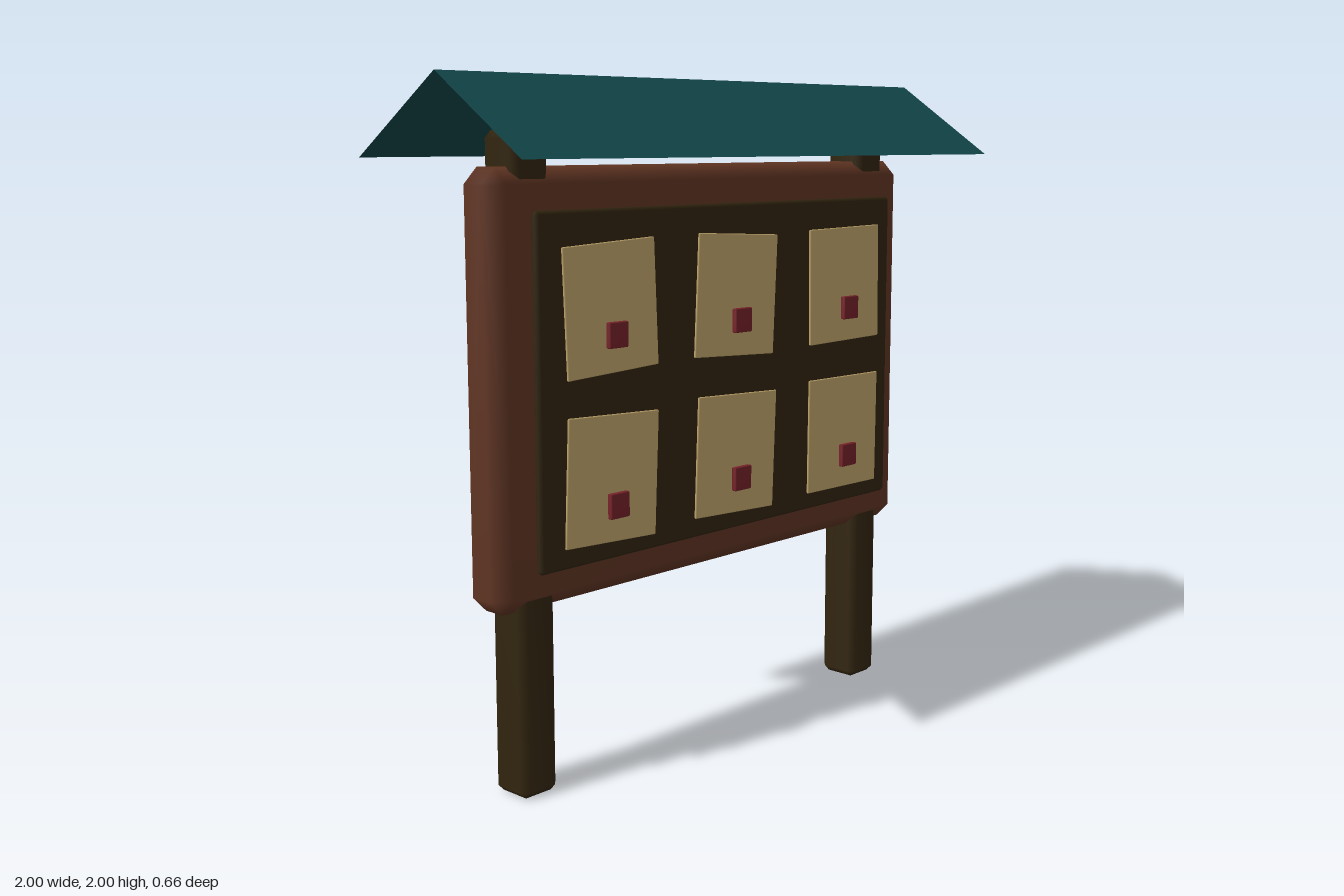
import * as THREE from 'three';
import { mergeVertices } from 'three/addons/utils/BufferGeometryUtils.js';
import { ConvexGeometry } from 'three/addons/geometries/ConvexGeometry.js';

const material = (name, color, side = THREE.FrontSide) => {
  const m = new THREE.MeshStandardMaterial({ color, side });
  m.name = name;
  return m;
};

// Box with every edge cut by one bevel; area-weighted normals soften the bevels
function bevelBox(w, h, d, bevel) {
  const points = [];
  const half = [w / 2, h / 2, d / 2];
  for (const sx of [-1, 1]) for (const sy of [-1, 1]) for (const sz of [-1, 1]) {
    const sign = [sx, sy, sz];
    for (let full = 0; full < 3; full++) {
      points.push(new THREE.Vector3(...half.map((v, i) => sign[i] * (i === full ? v : v - bevel))));
    }
  }
  let geometry = new ConvexGeometry(points);
  geometry.deleteAttribute('normal');
  geometry = mergeVertices(geometry);
  geometry.computeVertexNormals();
  return geometry;
}

export function createModel() {
  const model = new THREE.Group();
  model.name = 'noticeBoard';

  const darkWood = material('dark wood', 0x32250f);
  const redWood = material('red-brown wood', 0x613523);
  const paper = material('parchment', 0xc2a76c);
  const pinRed = material('pin red', 0x762229);
  const teal = material('teal roofing', 0x124549, THREE.DoubleSide);

  const add = (name, geometry, mat, x, y, z) => {
    const mesh = new THREE.Mesh(geometry, mat);
    mesh.name = name;
    mesh.position.set(x, y, z);
    model.add(mesh);
    return mesh;
  };

  // Two posts from the ground up to the roof
  const postGeometry = bevelBox(0.13, 1.845, 0.135, 0.02);
  add('leftPost', postGeometry, darkWood, 0.735, 0.9275, 0);
  add('rightPost', postGeometry, darkWood, -0.735, 0.9275, 0);

  // Board and the dark panel in front of it
  add('board', bevelBox(1.77, 1.21, 0.16, 0.045), redWood, 0, 1.15, 0);
  add('panel', bevelBox(1.54, 0.985, 0.028, 0.01), darkWood, 0, 1.148, 0.104);

  // Notices, each slightly turned, with a square pin
  const noticeGeometry = bevelBox(0.348, 0.362, 0.009, 0.003);
  const pinGeometry = bevelBox(0.072, 0.072, 0.018, 0.003);
  const turns = [[2.5, -3, 0.8], [-2.5, -2.5, -0.6]];
  turns.forEach((row, r) => row.forEach((degrees, c) => {
    const x = (c - 1) * 0.515;
    const y = r === 0 ? 1.37 : 0.892;
    const notice = add('notice', noticeGeometry, paper, x, y, 0.134);
    notice.rotation.z = THREE.MathUtils.degToRad(degrees);
    add('pin', pinGeometry, pinRed, x, y - 0.073, 0.157);
  }));

  // Thin gabled roof, one sheet for each slope
  const rise = 0.222, run = 0.332;
  for (const side of [1, -1]) {
    const sheet = new THREE.PlaneGeometry(2, Math.hypot(rise, run));
    sheet.rotateX(-Math.atan2(run, rise));
    if (side < 0) sheet.rotateY(Math.PI);
    add(side > 0 ? 'frontRoof' : 'backRoof', sheet, teal, 0, 2 - rise / 2, side * run / 2);
  }

  return model;
}
